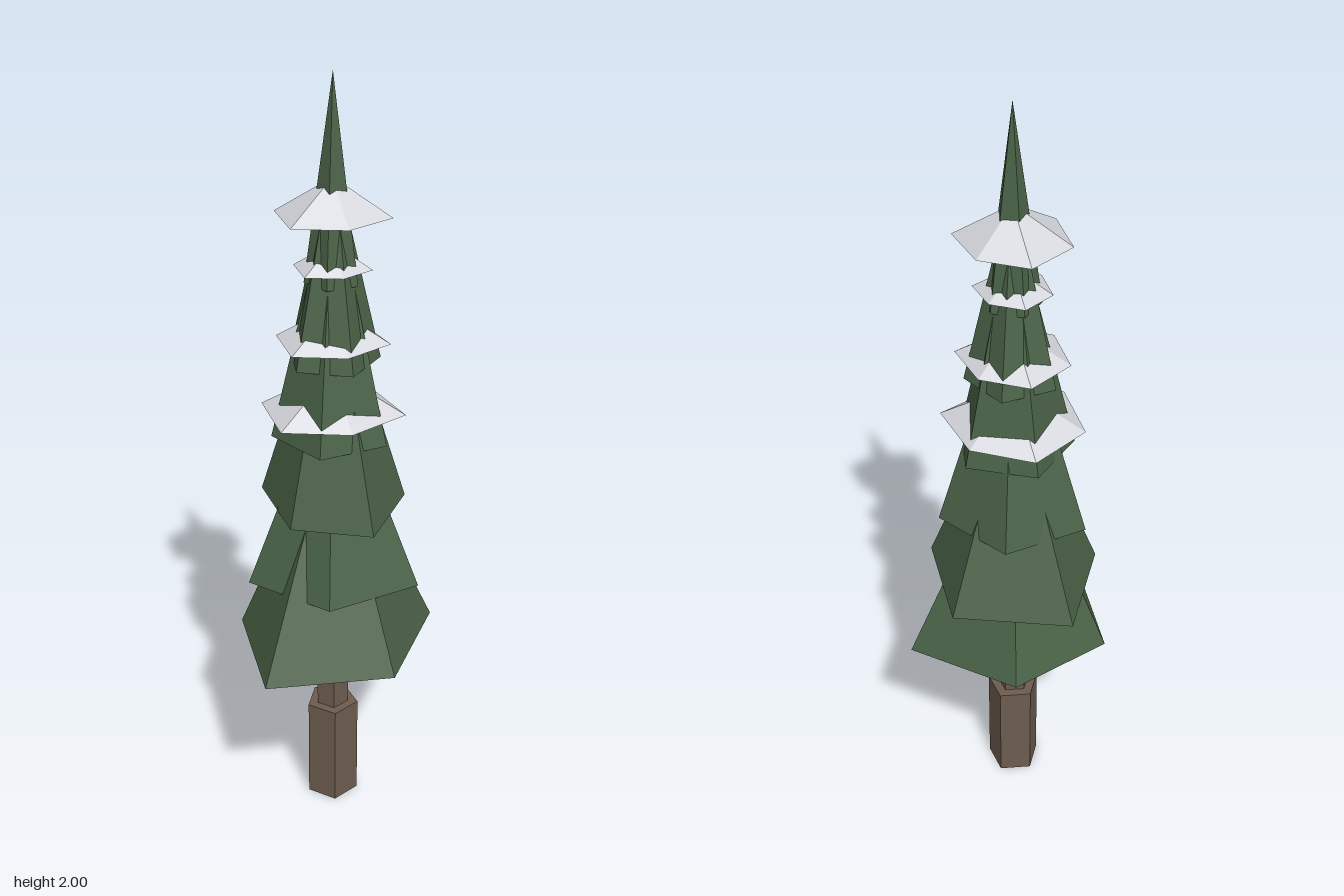
import * as THREE from 'three';

const AXIS_X = 0.005, AXIS_Z = -0.023;
const material = (color) => new THREE.MeshStandardMaterial({ color, flatShading: true, side: THREE.DoubleSide });

// Open faceted cone: rim corners [x, z] at height y, joined to one apex on the trunk axis
function skirt(name, rim, y, apexY, mat) {
  const pos = [];
  rim.forEach(([x, z], i) => {
    const [nx, nz] = rim[(i + 1) % rim.length];
    pos.push(x, y, z, AXIS_X, apexY, AXIS_Z, nx, y, nz);
  });
  const geo = new THREE.BufferGeometry();
  geo.setAttribute('position', new THREE.Float32BufferAttribute(pos, 3));
  geo.computeVertexNormals();
  const mesh = new THREE.Mesh(geo, mat);
  mesh.name = name;
  return mesh;
}

// Regular pentagon rim, starting at an angle in degrees from +x towards +z
function pentagon(r, startDeg) {
  return Array.from({ length: 5 }, (_, i) => {
    const a = THREE.MathUtils.degToRad(startDeg + i * 72);
    return [AXIS_X + r * Math.cos(a), AXIS_Z + r * Math.sin(a)];
  });
}

export function createModel() {
  const tree = new THREE.Group();
  tree.name = 'snowyPine';
  const bark = material(0x6d5c4e);
  const needles = material(0x4a6247);
  const snow = material(0xd4d6dc);

  // Five-sided trunk: wide base and a thinner stem inside the branches
  const trunk = (name, r, y0, y1) => {
    const mesh = new THREE.Mesh(new THREE.CylinderGeometry(r, r, y1 - y0, 5), bark);
    mesh.rotation.y = Math.PI / 2;
    mesh.position.set(AXIS_X, (y0 + y1) / 2, AXIS_Z - 0.002);
    mesh.name = name;
    tree.add(mesh);
  };
  trunk('trunkBase', 0.07, 0, 0.29);
  trunk('trunkStem', 0.043, 0.29, 0.9);

  // Branch tiers, lower ones irregular: [rim, rim height, apex height]
  const tiers = [
    [[[0.2, 0.14], [-0.112, 0.252], [-0.247, -0.045], [-0.055, -0.255], [0.245, -0.18]], 0.5, 1.12],
    [[[0.235, 0.007], [0.037, 0.172], [-0.193, 0.077], [-0.19, -0.21], [0.11, -0.247]], 0.7, 1.28],
    [[[0.138, 0.127], [-0.07, 0.13], [-0.19, -0.07], [-0.018, -0.208], [0.178, -0.105]], 0.9, 1.53],
    [pentagon(0.152, 18), 1.1, 1.75],
    [pentagon(0.118, 54), 1.3, 1.82],
    [pentagon(0.069, 18), 1.5, 2],
  ];
  tiers.forEach(([rim, y, apexY], i) => tree.add(skirt(`branchTier${i + 1}`, rim, y, apexY, needles)));

  // Hexagonal snow collars, one outline at several sizes
  const collar = [[0.183, -0.002], [0.075, 0.133], [-0.095, 0.155], [-0.18, -0.002], [-0.09, -0.15], [0.075, -0.137]];
  [[1, 1.165, 0.105], [0.78, 1.35, 0.085], [0.53, 1.535, 0.06], [0.78, 1.665, 0.09]].forEach(([s, y, h], i) => {
    const rim = collar.map(([x, z]) => [AXIS_X + x * s, AXIS_Z + z * s]);
    tree.add(skirt(`snowCollar${i + 1}`, rim, y, y + h, snow));
  });

  return tree;
}
